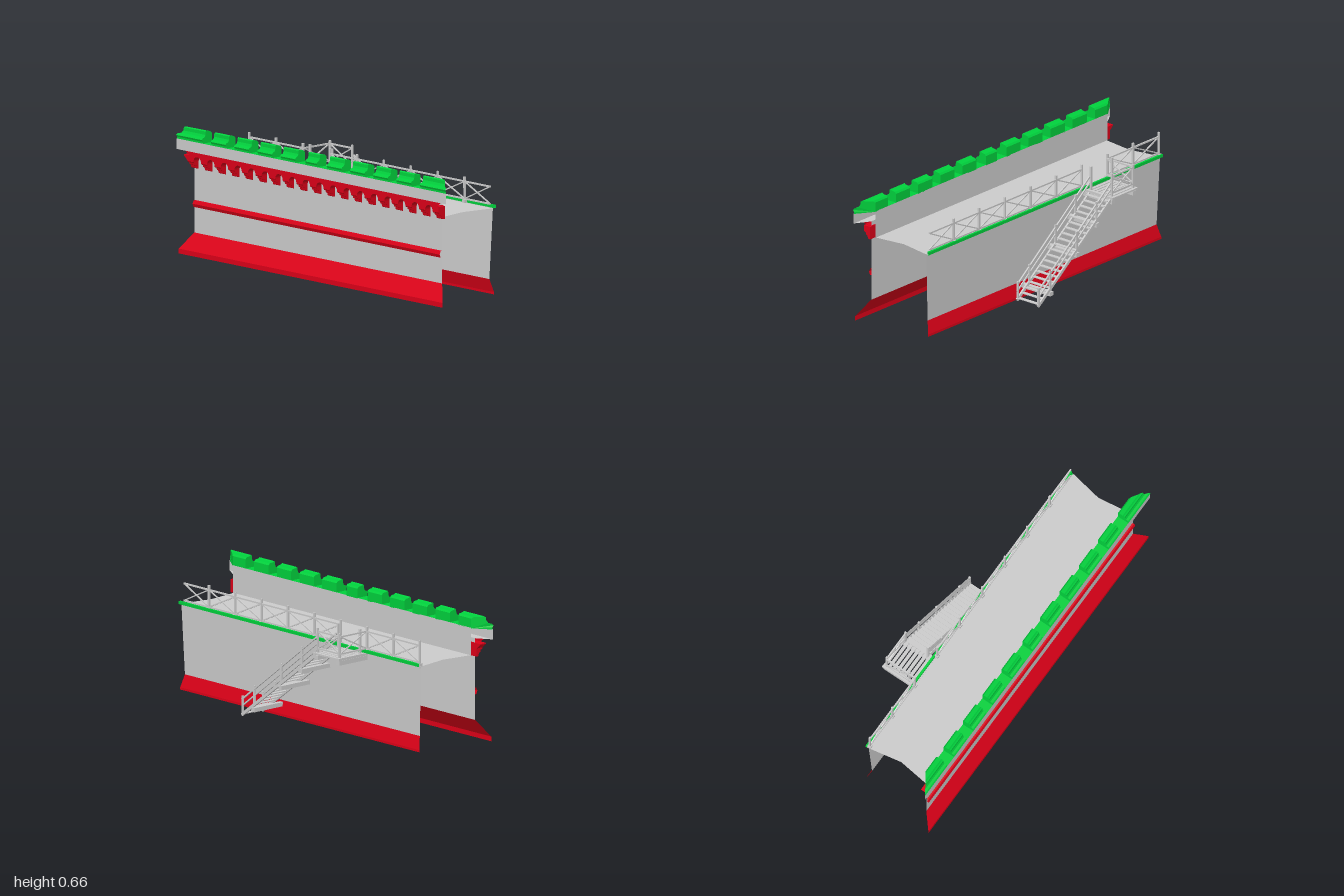
import * as THREE from 'three';

const GREY = 0xcccccc, RED = 0xdc0018, GREEN = 0x00d03c;
const mats = {};
const mat = (color) => (mats[color] ??= new THREE.MeshStandardMaterial({ color, flatShading: true, side: THREE.DoubleSide }));

function add(parent, name, geometry, color = GREY) {
  const mesh = new THREE.Mesh(geometry, mat(color));
  mesh.name = name;
  parent.add(mesh);
  return mesh;
}

function group(parent, name) {
  const g = new THREE.Group();
  g.name = name;
  parent.add(g);
  return g;
}

// Open strip along x; each row is [z, y, half length]
function strip(rows) {
  const p = [];
  for (let i = 0; i < rows.length - 1; i++) {
    const [z0, y0, a] = rows[i], [z1, y1, b] = rows[i + 1];
    p.push(-a, y0, z0, a, y0, z0, b, y1, z1, -a, y0, z0, b, y1, z1, -b, y1, z1);
  }
  const g = new THREE.BufferGeometry();
  g.setAttribute('position', new THREE.Float32BufferAttribute(p, 3));
  g.computeVertexNormals();
  return g;
}

// Solid of a [z, y] outline running from x0 to x1
function prism(profile, x0, x1) {
  const shape = new THREE.Shape(profile.map(([z, y]) => new THREE.Vector2(-z, y)));
  return new THREE.ExtrudeGeometry(shape, { depth: x1 - x0, bevelEnabled: false })
    .rotateY(Math.PI / 2).translate(x0, 0, 0);
}

// Timber between two points
function beam(parent, name, a, b, w = 0.01, h = w) {
  const s = new THREE.Vector3(...a), e = new THREE.Vector3(...b);
  const mesh = add(parent, name, new THREE.BoxGeometry(w, h, s.distanceTo(e)));
  mesh.position.copy(s).add(e).multiplyScalar(0.5);
  mesh.lookAt(e);
}

// Top rail, bottom rail and crossed braces between two floor points
function bay(parent, [x0, z0], [x1, z1]) {
  const lo = 0.47, hi = 0.56;
  beam(parent, 'topRail', [x0, hi, z0], [x1, hi, z1], 0.008);
  beam(parent, 'bottomRail', [x0, lo, z0], [x1, lo, z1], 0.008);
  beam(parent, 'brace', [x0, lo, z0], [x1, hi, z1], 0.006);
  beam(parent, 'brace', [x0, hi, z0], [x1, lo, z1], 0.006);
}

function buildWalls(root) {
  const g = group(root, 'walls');
  add(g, 'frontBase', strip([[0.311, 0, 0.98], [0.311, 0.025, 0.98], [0.256, 0.11, 0.92]]), RED);
  add(g, 'frontWall', strip([[0.256, 0.11, 0.918], [0.256, 0.54, 0.918]]));
  add(g, 'belt', strip([[0.256, 0.243, 0.915], [0.265, 0.245, 0.917], [0.272, 0.262, 0.918],
    [0.265, 0.278, 0.917], [0.256, 0.28, 0.915]]), RED);
  add(g, 'parapet', strip([[0.256, 0.54, 0.92], [0.305, 0.54, 1], [0.305, 0.595, 1]]));
  add(g, 'parapetInside', strip([[0.24, 0.595, 0.905], [0.24, 0.45, 0.905]]));
  add(g, 'parapetSill', strip([[0.305, 0.595, 1], [0.24, 0.595, 0.905]]), GREEN);

  // Walkway with ends drawn in at the middle
  add(g, 'walkway', strip([[0.24, 0.45, 0.9], [0.07, 0.45, 0.877], [-0.12, 0.45, 0.912]]));

  add(g, 'backWall', strip([[-0.11, 0.452, 0.91], [-0.102, 0.08, 0.892]]));
  add(g, 'backBase', strip([[-0.102, 0.08, 0.892], [-0.12, 0.012, 0.908], [-0.12, 0, 0.908]]), RED);
  add(g, 'backTrim', strip([[-0.11, 0.45, 0.91], [-0.128, 0.45, 0.913], [-0.128, 0.466, 0.913],
    [-0.116, 0.466, 0.91], [-0.116, 0.45, 0.91]]), GREEN);
}

function buildCorbels(root) {
  const g = group(root, 'corbels');
  const step = 0.1012, half = 0.028, first = -0.911;
  // Band with a row of arches cut from its lower edge
  const band = new THREE.Shape();
  band.moveTo(-0.96, 0.517);
  band.lineTo(-0.96, 0.512);
  band.lineTo(first - 0.02, 0.487);
  for (let i = 0; i < 18; i++) {
    const c = first + (i + 0.5) * step;
    band.lineTo(c - half, 0.487);
    band.absarc(c, 0.487, half, Math.PI, 0, true);
  }
  band.lineTo(0.92, 0.487);
  band.lineTo(0.92, 0.517);
  add(g, 'archBand', new THREE.ExtrudeGeometry(band, { depth: 0.042, bevelEnabled: false, curveSegments: 5 })
    .translate(0, 0, 0.251), RED);
  add(g, 'upperBand', strip([[0.293, 0.517, 0.92], [0.293, 0.54, 0.95]]), RED);
  const profile = [[0.25, 0.515], [0.293, 0.515], [0.293, 0.485], [0.288, 0.48], [0.28, 0.478], [0.277, 0.467],
    [0.268, 0.463], [0.265, 0.45], [0.26, 0.447], [0.25, 0.447]];
  for (let i = 0; i <= 18; i++) {
    const x = first + i * step;
    add(g, 'corbel', prism(profile, x - 0.0226, x + 0.0226), RED);
  }
}

function buildMerlons(root) {
  const g = group(root, 'merlons');
  const profile = [[0.24, 0.592], [0.24, 0.643], [0.248, 0.652], [0.27, 0.655], [0.278, 0.66], [0.284, 0.655],
    [0.285, 0.638], [0.291, 0.626], [0.303, 0.622], [0.309, 0.614], [0.304, 0.604], [0.304, 0.592]];
  for (let i = -4; i <= 4; i++) {
    const w = i === 0 ? 0.043 : 0.055;
    add(g, 'merlon', prism(profile, i * 0.172 - w, i * 0.172 + w), GREEN);
  }
  // End merlons are mitred at the outer side
  for (const s of [-1, 1]) {
    const geo = s < 0 ? prism(profile, -1, -0.808) : prism(profile, 0.808, 1);
    const p = geo.attributes.position;
    for (let i = 0; i < p.count; i++) {
      if (Math.abs(p.getX(i)) > 0.9) p.setX(i, s * Math.min(1, 0.905 + (p.getZ(i) - 0.24) * 1.46));
    }
    geo.computeVertexNormals();
    add(g, 'endMerlon', geo, GREEN);
  }
}

function buildRailing(root) {
  const g = group(root, 'walkwayRailing');
  const z = -0.11;
  for (let i = 0; i < 9; i++) {
    const x = -0.9 + 0.2 * i;
    beam(g, 'post', [x, 0.44, z], [x, 0.585, z], 0.01);
    beam(g, 'postFoot', [x, 0.45, z], [x, 0.466, z], 0.02);
    if (i !== 2) bay(g, [x, z], [Math.min(x + 0.2, 0.89), z]); // opening at the landing
  }
}

function buildStairs(root) {
  const zIn = -0.15, zOut = -0.291;
  // Landing with boards along x
  const landing = group(root, 'landing');
  for (let i = 0; i < 8; i++) {
    const z = -0.138 - i * 0.0232;
    beam(landing, 'board', [-0.505, 0.444, z], [-0.315, 0.444, z], 0.017, 0.008);
  }
  for (const x of [-0.5, -0.318]) {
    beam(landing, 'edgeJoist', [x, 0.443, -0.1], [x, 0.443, -0.31], 0.014, 0.013);
  }
  for (const x of [-0.49, -0.325]) {
    beam(landing, 'support', [x, 0.423, -0.075], [x, 0.423, -0.302], 0.025, 0.023);
    for (const z of [zIn, zOut]) beam(landing, 'post', [x, 0.43, z], [x, 0.577, z], 0.01);
  }
  bay(landing, [-0.495, -0.11], [-0.495, zOut]);
  bay(landing, [-0.49, zOut], [-0.325, zOut]);

  // Flight going down towards +x
  const stairs = group(root, 'stairs');
  const x0 = -0.315, x1 = 0.25, yTop = 0.44, yLow = 0.012;
  const yAt = (x) => yTop + (yLow - yTop) * (x - x0) / (x1 - x0);
  const n = 20;
  for (let i = 0; i < n; i++) {
    const x = x0 + (x1 - x0) * (i + 0.6) / n;
    beam(stairs, 'tread', [x, yAt(x) + 0.004, zIn], [x, yAt(x) + 0.004, zOut], 0.021, 0.004);
  }
  for (const z of [zIn, zOut]) {
    beam(stairs, 'stringer', [x0, yTop - 0.006, z], [x1, yLow + 0.004, z], 0.01, 0.016);
    beam(stairs, 'handrail', [x0, yTop + 0.085, z], [x1, yLow + 0.085, z], 0.008);
    beam(stairs, 'middleRail', [x0, yTop + 0.05, z], [x1, yLow + 0.05, z], 0.007);
    for (const x of [-0.205, -0.05, 0.155, 0.245]) {
      beam(stairs, 'post', [x, yAt(x) - 0.004, z], [x, yAt(x) + 0.1, z], 0.01);
    }
  }
  for (const [x, y] of [[-0.205, 0.33], [-0.05, 0.213], [0.155, 0.06]]) {
    beam(stairs, 'support', [x, y, -0.075], [x, y, -0.302], 0.025, 0.022);
  }
}

export function createModel() {
  const root = new THREE.Group();
  root.name = 'fortressWall';
  buildWalls(root);
  buildCorbels(root);
  buildMerlons(root);
  buildRailing(root);
  buildStairs(root);
  return root;
}
